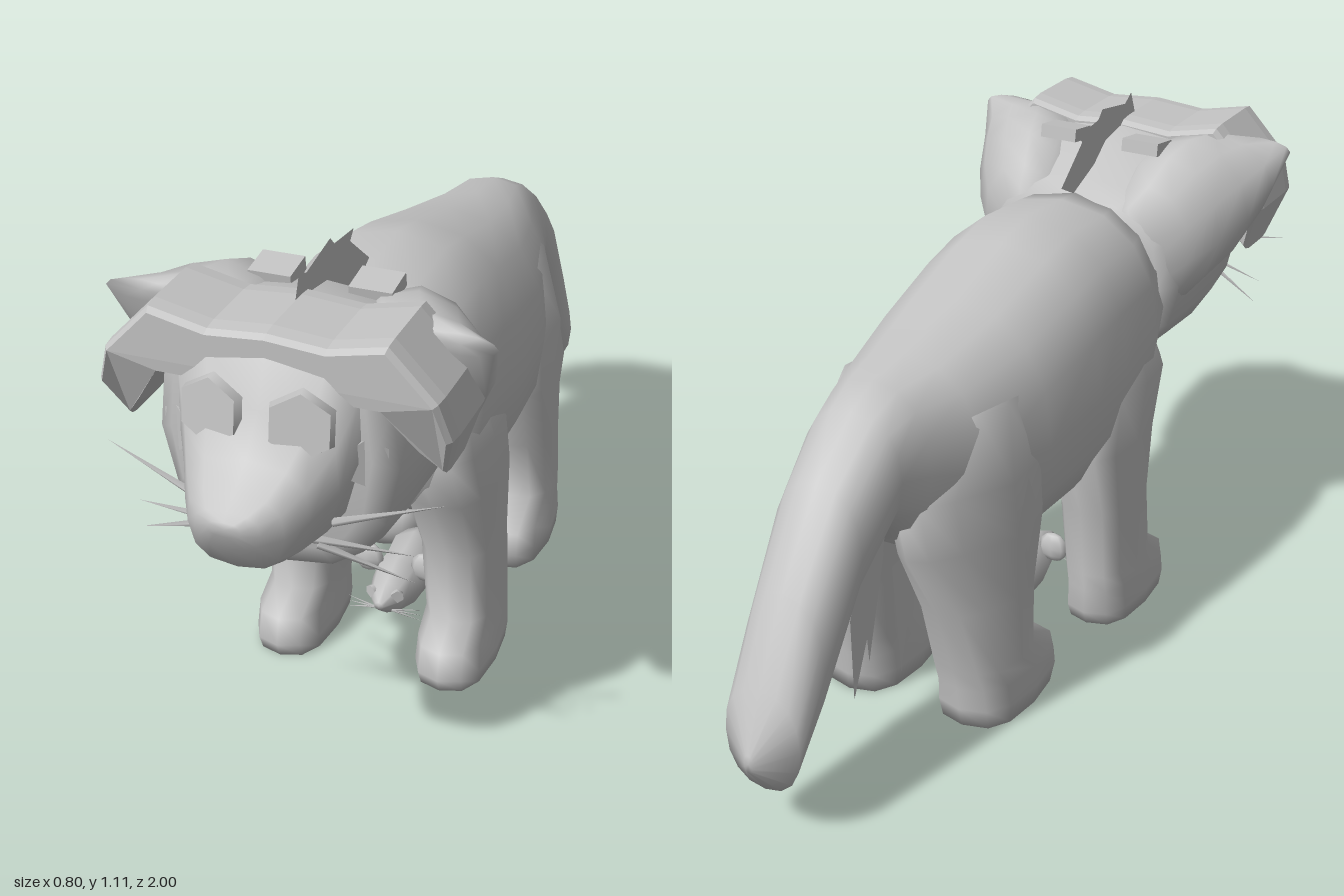
import * as THREE from 'three';

const grey = new THREE.MeshStandardMaterial({ color: 0xc4c4c4, side: THREE.DoubleSide });
grey.name = 'plain grey';

// Skin over rounded rings. Each section is [z, yBottom, yTop, halfWidth, xCentre], z increasing.
function loft(sections, power = 2.4, sides = 12) {
  const pos = [], index = [];
  const soft = v => Math.sign(v) * Math.abs(v) ** (2 / power);
  for (const [z, lo, hi, w, x = 0] of sections) {
    for (let j = 0; j < sides; j++) {
      const a = (j / sides) * Math.PI * 2;
      pos.push(x + w * soft(Math.cos(a)), (lo + hi) / 2 + ((hi - lo) / 2) * soft(Math.sin(a)), z);
    }
  }
  const n = sections.length;
  for (let i = 0; i < n - 1; i++) {
    for (let j = 0; j < sides; j++) {
      const a = i * sides + j, b = i * sides + ((j + 1) % sides);
      index.push(a, b, a + sides, b, b + sides, a + sides);
    }
  }
  // End caps
  for (const [i, flip] of [[0, true], [n - 1, false]]) {
    const [z, lo, hi, , x = 0] = sections[i];
    const c = pos.length / 3;
    pos.push(x, (lo + hi) / 2, z);
    for (let j = 0; j < sides; j++) {
      const a = i * sides + j, b = i * sides + ((j + 1) % sides);
      index.push(c, flip ? b : a, flip ? a : b);
    }
  }
  const g = new THREE.BufferGeometry();
  g.setAttribute('position', new THREE.Float32BufferAttribute(pos, 3));
  g.setIndex(index);
  g.computeVertexNormals();
  return g;
}

// Move every vertex by a rule
function warp(geometry, rule) {
  const p = geometry.attributes.position;
  for (let i = 0; i < p.count; i++) p.setXYZ(i, ...rule(p.getX(i), p.getY(i), p.getZ(i)));
  geometry.computeVertexNormals();
  return geometry;
}

// Upright skin. Each section is [y, zBack, zFront, xCentre, halfWidth].
function legLoft(sections, s) {
  const rows = sections.map(([y, back, front, x, w]) => [y, -front, -back, w, x * s]);
  return loft(rows, 2.7).rotateX(-Math.PI / 2);
}

// Flat plate from [z, y] points, facing sideways at a given x
function sidePlate(points, x) {
  const shape = new THREE.Shape(points.map(([z, y]) => new THREE.Vector2(-z, y)));
  return new THREE.ShapeGeometry(shape).rotateY(Math.PI / 2).translate(x, 0, 0);
}

// Thin tapering hair between two points
function hair(from, to, radius) {
  const a = new THREE.Vector3(...from), b = new THREE.Vector3(...to);
  const dir = b.clone().sub(a);
  const g = new THREE.ConeGeometry(radius, dir.length(), 4);
  g.applyQuaternion(new THREE.Quaternion().setFromUnitVectors(new THREE.Vector3(0, 1, 0), dir.normalize()));
  const mid = a.add(b).multiplyScalar(0.5);
  return g.translate(mid.x, mid.y, mid.z);
}

export function createModel() {
  const model = new THREE.Group();
  model.name = 'animal';
  const add = (name, geometry, parent = model) => {
    const mesh = new THREE.Mesh(geometry, grey);
    mesh.name = name;
    parent.add(mesh);
    return mesh;
  };

  // Body running smoothly into the drooping tail
  add('bodyAndTail', loft([
    [-1.0, 0.19, 0.23, 0.01], [-0.95, 0.12, 0.35, 0.088], [-0.86, 0.21, 0.52, 0.093],
    [-0.73, 0.42, 0.7, 0.102], [-0.6, 0.54, 0.8, 0.115], [-0.52, 0.47, 0.835, 0.135],
    [-0.4, 0.39, 0.845, 0.185], [-0.2, 0.31, 0.89, 0.235], [0.0, 0.31, 0.945, 0.252],
    [0.12, 0.32, 0.97, 0.255], [0.28, 0.38, 0.955, 0.25], [0.39, 0.47, 0.945, 0.215],
  ], 2.25, 16));

  // Head: the skull narrows towards the jaw
  const head = new THREE.Group();
  head.name = 'head';
  model.add(head);
  add('skull', warp(loft([
    [0.335, 0.56, 0.945, 0.215], [0.41, 0.53, 0.965, 0.245], [0.5, 0.525, 1.03, 0.255],
    [0.65, 0.51, 1.055, 0.25], [0.75, 0.54, 1.05, 0.24], [0.79, 0.6, 1.04, 0.2],
  ], 2.8, 16), (x, y, z) => [x * Math.min(1.02, 0.84 + (y - 0.52) * 0.75), y, z]), head);

  // Shield-shaped face and muzzle
  add('muzzle', warp(loft([
    [0.74, 0.62, 1.05, 0.19], [0.79, 0.625, 1.035, 0.185], [0.835, 0.628, 0.92, 0.165],
    [0.9, 0.635, 0.85, 0.135], [0.95, 0.65, 0.81, 0.105], [0.985, 0.71, 0.79, 0.07], [1.0, 0.745, 0.775, 0.035],
  ], 2.7), (x, y, z) => [x * Math.min(1.1, 0.85 + (y - 0.63) * 0.75), y, z]), head);

  // Brow joined to the two folded ears, which get thinner and lean back towards their tips
  const half = [[0.12, 1.035], [0.235, 1.06], [0.325, 0.965], [0.347, 0.89], [0.322, 0.8],
    [0.285, 0.85], [0.225, 0.94], [0.16, 0.94]];
  const outline = [[0, 1.045], ...half, [0, 0.94],
    ...half.slice().reverse().map(([x, y]) => [-x, y])];
  const browShape = new THREE.Shape(outline.map(p => new THREE.Vector2(...p)));
  const brow = new THREE.ExtrudeGeometry(browShape, {
    depth: 0.12, bevelThickness: 0.04, bevelSize: 0.012, bevelSegments: 2,
  }).translate(0, 0, -0.06);
  add('browAndFoldedEars', warp(brow, (x, y, z) => {
    const thick = Math.min(1.1, 0.65 + Math.max(0, y - 0.78) * 4);
    const lean = Math.max(0, 0.95 - y) * 0.2;
    return [x, y, 0.69 - lean + z * thick];
  }), head);

  // Jagged crest along the top of the head
  add('crest', sidePlate([[0.66, 1.04], [0.63, 1.11], [0.6, 1.09], [0.48, 1.11], [0.46, 1.09],
    [0.36, 1.08], [0.38, 1.06], [0.28, 0.98], [0.34, 0.95], [0.5, 1.01]], 0), head);

  for (const s of [-1, 1]) {
    // Broad pointed ears flaring out of the sides of the head
    add('pointedEar', warp(loft([
      [0.34, 0.66, 0.94, 0.06, 0.14 * s], [0.4, 0.64, 0.975, 0.115, 0.16 * s],
      [0.46, 0.66, 1.03, 0.14, 0.18 * s], [0.53, 0.72, 1.055, 0.155, 0.2 * s],
      [0.6, 0.84, 1.055, 0.15, 0.23 * s], [0.65, 1.0, 1.045, 0.075, 0.325 * s],
    ], 2, 12), (x, y, z) => [x * Math.min(1, 1 - (0.88 - y) * 0.6), y, z]), head);

    // Six-sided eyes, cheek patches and small tabs on top
    const eye = add('eye', new THREE.CylinderGeometry(0.066, 0.072, 0.02, 6).rotateX(Math.PI / 2), head);
    eye.position.set(0.09 * s, 0.91, 0.848);
    eye.rotation.set(-0.15, 0.15 * s, 0);
    const patch = add('cheekPatch', new THREE.CylinderGeometry(0.05, 0.05, 0.009, 6).rotateX(Math.PI / 2), head);
    patch.position.set(0.19 * s, 0.82, 0.785);
    patch.rotation.y = 0.6 * s;
    const tab = add('topTab', new THREE.BoxGeometry(0.09, 0.03, 0.075), head);
    tab.position.set(0.105 * s, 1.035, 0.5);
    tab.rotation.x = 0.15;

    // Whiskers
    for (const [x0, y0, x1, y1] of [[0.14, 0.705, 0.35, 0.757], [0.1, 0.66, 0.29, 0.632], [0.11, 0.65, 0.285, 0.572]]) {
      add('whisker', hair([x0 * s, y0, 0.83], [x1 * s, y1, 0.78], 0.009), head);
    }

    // Legs with feet reaching forward
    add('frontLeg', legLoft([
      [0.005, 0.07, 0.375, 0.19, 0.08], [0.04, 0.055, 0.39, 0.19, 0.083], [0.1, 0.055, 0.375, 0.19, 0.08],
      [0.14, 0.055, 0.305, 0.187, 0.078], [0.3, 0.055, 0.295, 0.177, 0.083], [0.45, 0.02, 0.34, 0.16, 0.098],
      [0.58, 0.04, 0.4, 0.145, 0.112], [0.74, 0.13, 0.32, 0.12, 0.1],
    ], s));
    // Thighs narrow towards the tail
    add('hindLeg', warp(legLoft([
      [0.005, -0.43, -0.125, 0.145, 0.095], [0.05, -0.44, -0.105, 0.145, 0.1], [0.1, -0.44, -0.12, 0.145, 0.097],
      [0.15, -0.45, -0.22, 0.145, 0.095], [0.3, -0.48, -0.2, 0.14, 0.095], [0.45, -0.54, -0.14, 0.135, 0.1],
      [0.58, -0.56, -0.14, 0.125, 0.108], [0.74, -0.44, -0.2, 0.1, 0.1],
    ], s), (x, y, z) => [x * (1 - Math.max(0, -0.34 - z) * 2 * Math.min(1, y / 0.45)), y, z]));

    // Flat tufts of fur behind the thighs, on the hips and below the belly
    add('thighTuft', sidePlate([[-0.57, 0.6], [-0.66, 0.53], [-0.72, 0.4], [-0.715, 0.21], [-0.6, 0.46]], 0.06 * s));
    add('thighTuft', sidePlate([[-0.42, 0.44], [-0.53, 0.42], [-0.505, 0.15]], 0.04 * s));
    add('hipTuft', sidePlate([[-0.31, 0.58], [-0.27, 0.49], [-0.31, 0.4], [-0.35, 0.49]], 0.24 * s));
    add('bellyTuft', sidePlate([[-0.11, 0.45], [-0.2, 0.47], [-0.24, 0.12], [-0.19, 0.3]], 0.1 * s));
  }

  // Small mouse sitting under the belly, its head between the front legs
  const mouse = new THREE.Group();
  mouse.name = 'mouse';
  model.add(mouse);
  add('mouseBody', loft([
    [-0.14, 0.04, 0.06, 0.01], [-0.09, 0.025, 0.08, 0.03], [-0.04, 0.015, 0.14, 0.055],
    [0.02, 0.01, 0.16, 0.065], [0.08, 0.02, 0.15, 0.06], [0.13, 0.025, 0.155, 0.06],
    [0.2, 0.05, 0.135, 0.042], [0.25, 0.09, 0.11, 0.01],
  ], 2, 8), mouse);
  for (const s of [-1, 1]) {
    const ear = add('mouseEar', new THREE.SphereGeometry(0.037, 8, 6), mouse);
    ear.position.set(0.07 * s, 0.145, 0.13);
    ear.scale.z = 0.45;
    const eye = add('mouseEye', new THREE.CylinderGeometry(0.016, 0.016, 0.009, 6).rotateX(Math.PI / 2), mouse);
    eye.position.set(0.03 * s, 0.11, 0.212);
    eye.rotation.y = 0.5 * s;
    for (const y of [0.055, 0.07, 0.085]) {
      add('mouseWhisker', hair([0.02 * s, 0.075, 0.22], [0.09 * s, y, 0.21], 0.003), mouse);
    }
  }

  return model;
}
